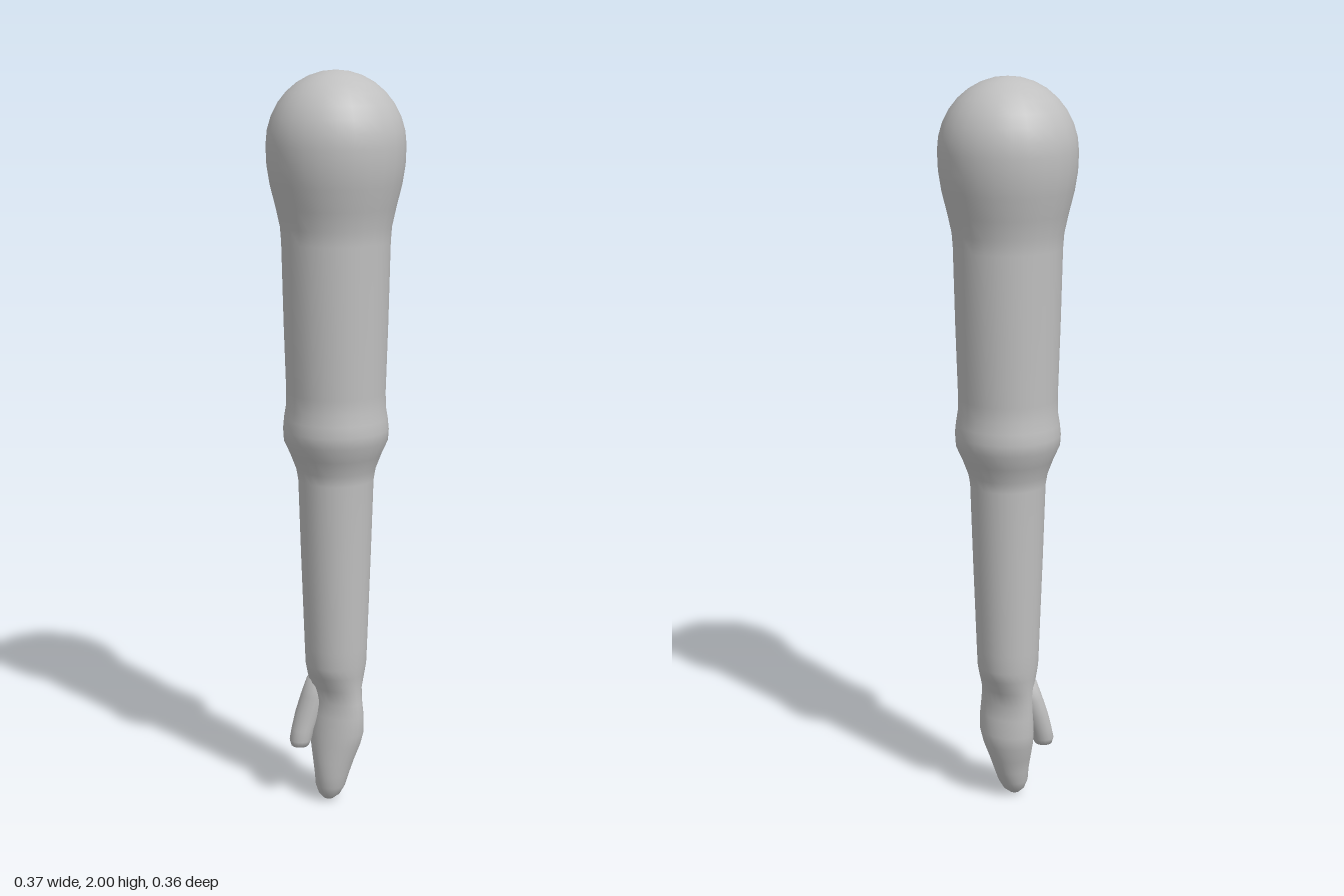
import * as THREE from 'three';

const SIDES = 26;

// Smooth skin through elliptical rings [x, y, z, radiusX, radiusZ], listed top to bottom.
function loft(rings, sides) {
  const positions = [];
  const indices = [];
  rings.forEach(([x, y, z, rx, rz], i) => {
    for (let j = 0; j < sides; j++) {
      const a = (j / sides) * Math.PI * 2;
      positions.push(x + Math.cos(a) * rx, y, z + Math.sin(a) * rz);
      if (i === rings.length - 1) continue;
      const p = i * sides + j;
      const q = i * sides + (j + 1) % sides;
      indices.push(p, q, p + sides, q, q + sides, p + sides);
    }
  });
  const geometry = new THREE.BufferGeometry();
  geometry.setAttribute('position', new THREE.Float32BufferAttribute(positions, 3));
  geometry.setIndex(indices);
  geometry.computeVertexNormals();
  return geometry;
}

// Part of a loft between two rings, keeping the shared normals so joins stay smooth.
function slice(geometry, from, to, sides) {
  const part = geometry.clone();
  part.setIndex(Array.from(geometry.index.array.slice(from * sides * 6, to * sides * 6)));
  return part;
}

export function createModel() {
  const group = new THREE.Group();
  const grey = new THREE.MeshStandardMaterial({ color: 0xc0c0c0 });

  const add = (name, geometry) => {
    const mesh = new THREE.Mesh(geometry, grey);
    mesh.name = name;
    group.add(mesh);
  };

  const round = (y, r) => [0, y, 0, r, r];

  // Ball of the shoulder, tapering into the upper arm
  const shoulder = [];
  for (let i = 0; i <= 8; i++) {
    const a = (i / 8) * Math.PI / 2;
    shoulder.push(round(1.81 + 0.19 * Math.cos(a), 0.183 * Math.sin(a)));
  }
  shoulder.push(round(1.76, 0.181), round(1.71, 0.173), round(1.65, 0.158), round(1.6, 0.147));

  const upperArm = [round(1.56, 0.144), round(1.35, 0.139), round(1.16, 0.133), round(1.12, 0.134)];
  const elbow = [round(1.09, 0.139), round(1.06, 0.142), round(1.03, 0.14), round(0.99, 0.122), round(0.95, 0.107)];
  const forearm = [round(0.92, 0.102), round(0.7, 0.095), round(0.45, 0.086), round(0.4, 0.084)];

  // Mitten-shaped hand, fingers curling slightly forward
  const hand = [
    [0, 0.37, 0, 0.08, 0.076],
    [0, 0.33, 0, 0.077, 0.056],
    [0.002, 0.29, 0, 0.079, 0.049],
    [0.004, 0.25, 0, 0.081, 0.053],
    [0.003, 0.2, 0, 0.08, 0.06],
    [0.001, 0.165, 0.003, 0.073, 0.06],
    [0, 0.12, 0.012, 0.059, 0.055],
    [-0.001, 0.08, 0.018, 0.048, 0.049],
    [-0.003, 0.045, 0.023, 0.042, 0.04],
    [-0.004, 0.02, 0.026, 0.03, 0.029],
    [-0.005, 0.006, 0.028, 0.014, 0.014],
    [-0.005, 0, 0.028, 0, 0],
  ];

  const sections = { shoulder, upperArm, elbow, forearm, hand };
  const arm = loft(Object.values(sections).flat(), SIDES);
  const last = Object.values(sections).flat().length - 1;
  let start = 0;
  for (const [name, rings] of Object.entries(sections)) {
    const end = Math.min(start + rings.length, last);
    add(name, slice(arm, start, end, SIDES));
    start = end;
  }

  // Thumb, splayed out from the wrist
  add('thumb', loft([
    [-0.04, 0.375, 0.015, 0, 0],
    [-0.045, 0.35, 0.02, 0.032, 0.03],
    [-0.055, 0.3, 0.03, 0.036, 0.032],
    [-0.065, 0.25, 0.043, 0.036, 0.032],
    [-0.073, 0.205, 0.056, 0.032, 0.03],
    [-0.076, 0.175, 0.063, 0.031, 0.03],
    [-0.077, 0.158, 0.065, 0.024, 0.023],
    [-0.077, 0.15, 0.065, 0, 0],
  ], 16));

  return group;
}
